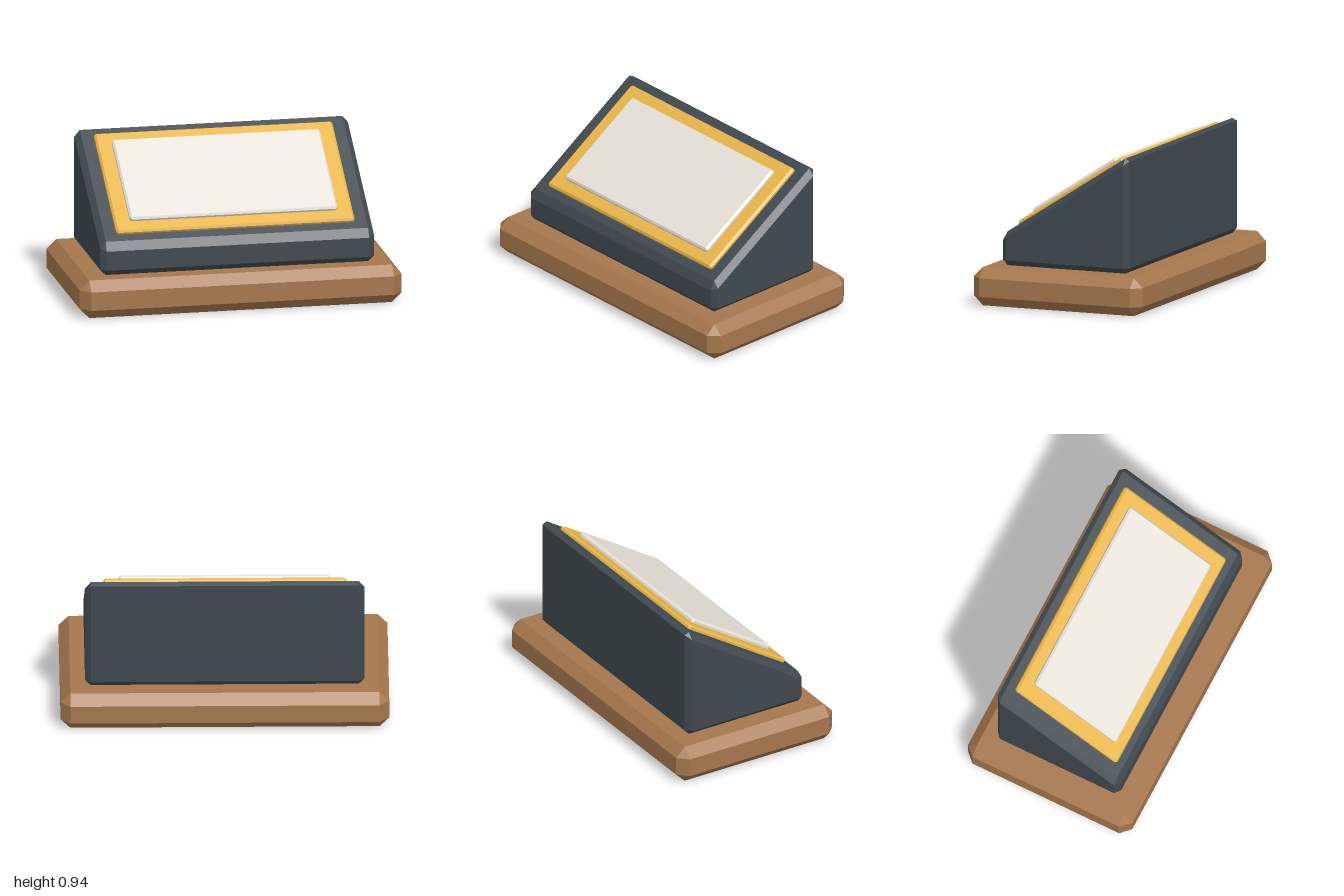
import * as THREE from 'three';
import { ConvexGeometry } from 'three/addons/geometries/ConvexGeometry.js';

const signs = [-1, 1];

function part(name, geometry, color) {
  const mesh = new THREE.Mesh(geometry, new THREE.MeshStandardMaterial({ color, flatShading: true }));
  mesh.name = name;
  return mesh;
}

// Box with every edge cut by a flat chamfer c, centred on the origin
function chamferBox(w, h, d, c) {
  const points = [];
  for (const sx of signs) for (const sy of signs) for (const sz of signs) {
    for (const axis of ['x', 'y', 'z']) {
      const p = new THREE.Vector3(w / 2 - c, h / 2 - c, d / 2 - c);
      p[axis] += c;
      points.push(p.multiply(new THREE.Vector3(sx, sy, sz)));
    }
  }
  return new ConvexGeometry(points);
}

// Wedge with chamfered edges: full profile inside, reduced profile on the sides
function wedgeBody() {
  const outer = [[0.42, 0.27], [0.42, 0.39], [0.39, 0.445], [-0.39, 0.945],
    [-0.42, 0.93], [-0.42, 0.27], [-0.39, 0.235], [0.39, 0.235]];
  const side = [[0.39, 0.27], [0.39, 0.405], [-0.39, 0.905], [-0.39, 0.27]];
  const points = [];
  for (const s of signs) {
    for (const [z, y] of outer) points.push(new THREE.Vector3(s * 0.815, y, z));
    for (const [z, y] of side) points.push(new THREE.Vector3(s * 0.85, y, z));
  }
  return new ConvexGeometry(points);
}

export function createModel() {
  const model = new THREE.Group();
  model.name = 'slopedDeskPlaque';

  // Wooden plinth
  const base = part('base', chamferBox(2, 0.236, 1.12, 0.06), 0xa6774d);
  base.position.y = 0.118;
  model.add(base);

  // Dark sloped body
  model.add(part('body', wedgeBody(), 0x3f4950));

  // Frame and panel lie on the slope; local y is the slope normal
  const face = new THREE.Group();
  face.name = 'slopedFace';
  face.position.y = 0.695;
  face.rotation.x = Math.atan2(0.5, 0.78);
  const frame = part('frame', chamferBox(1.48, 0.04, 0.82, 0.012), 0xe8b549);
  frame.position.y = 0.006;
  const panel = part('panel', chamferBox(1.29, 0.04, 0.66, 0.012), 0xe6e1d8);
  panel.position.y = 0.032;
  face.add(frame, panel);
  model.add(face);

  return model;
}
